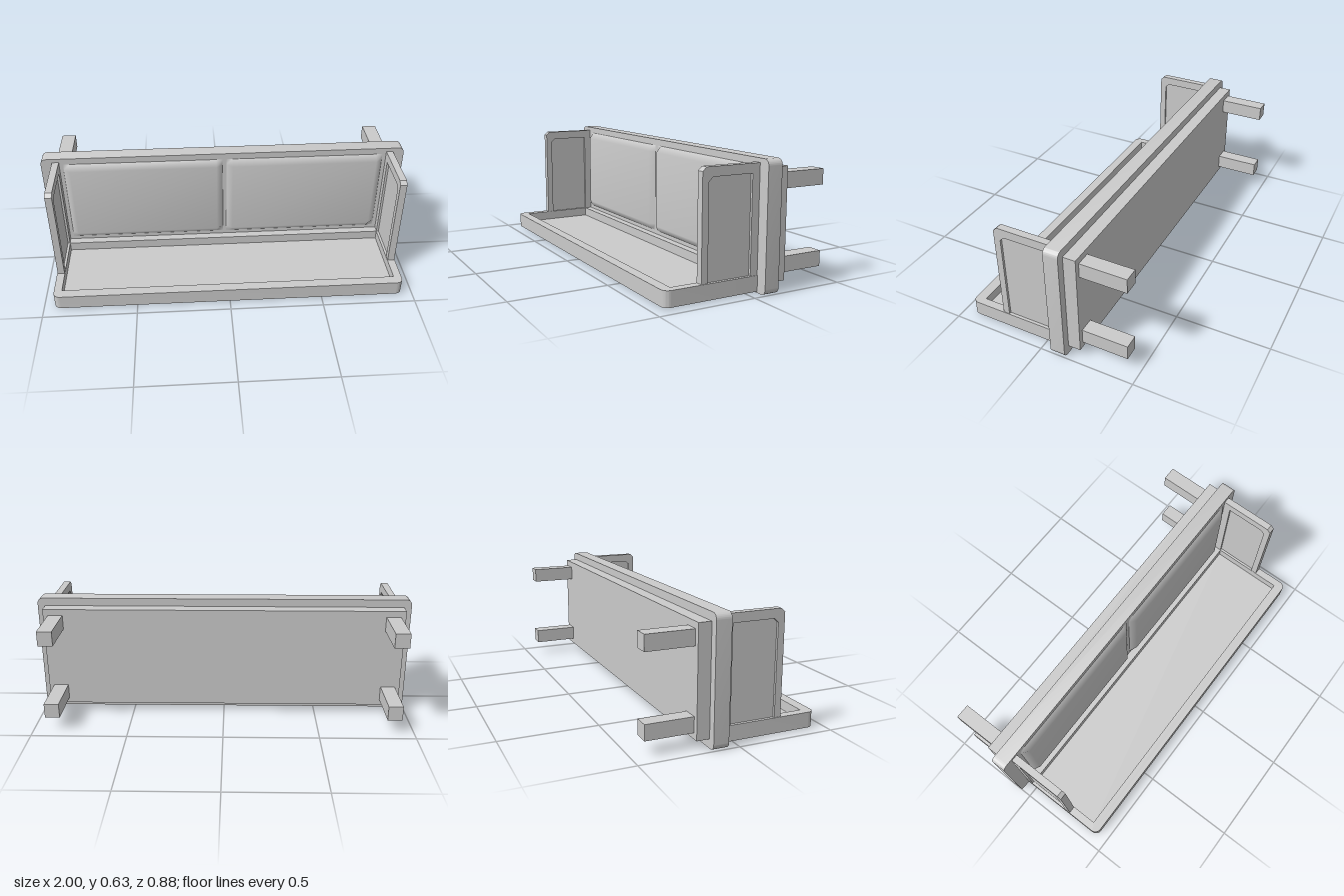
import * as THREE from 'three';
import { toCreasedNormals } from 'three/addons/utils/BufferGeometryUtils.js';

const material = new THREE.MeshStandardMaterial({ color: 0xcccccc });

export function createModel() {
  const group = new THREE.Group();

  const add = (name, geometry, x = 0, y = 0, z = 0) => {
    const mesh = new THREE.Mesh(geometry, material);
    mesh.name = name;
    mesh.position.set(x, y, z);
    group.add(mesh);
    return mesh;
  };

  // Box given by its minimum and maximum corners
  const box = (name, x0, x1, y0, y1, z0, z1) =>
    add(name, new THREE.BoxGeometry(x1 - x0, y1 - y0, z1 - z0),
      (x0 + x1) / 2, (y0 + y1) / 2, (z0 + z1) / 2);

  const polygon = (points) => new THREE.Shape(points.map(([a, b]) => new THREE.Vector2(a, b)));

  const extrude = (shape, depth) => toCreasedNormals(
    new THREE.ExtrudeGeometry(shape, { depth, bevelEnabled: false, curveSegments: 6 }), 0.6);

  // Rectangle with separate radii for its lower and upper corners
  const roundedRect = (x0, x1, y0, y1, rLow, rHigh) => {
    const s = new THREE.Shape();
    s.moveTo(x0 + rLow, y0);
    s.lineTo(x1 - rLow, y0);
    if (rLow) s.absarc(x1 - rLow, y0 + rLow, rLow, -Math.PI / 2, 0);
    s.lineTo(x1, y1 - rHigh);
    s.absarc(x1 - rHigh, y1 - rHigh, rHigh, 0, Math.PI / 2);
    s.lineTo(x0 + rHigh, y1);
    s.absarc(x0 + rHigh, y1 - rHigh, rHigh, Math.PI / 2, Math.PI);
    s.lineTo(x0, y0 + rLow);
    if (rLow) s.absarc(x0 + rLow, y0 + rLow, rLow, Math.PI, Math.PI * 1.5);
    return s;
  };

  // Seat slab with rounded corners, and the base behind it
  add('seatFrame', extrude(roundedRect(-1, 1, 0, 0.632, 0.03, 0.03), 0.078), 0, 0, -0.135);
  box('seatBase', -0.96, 0.96, 0.045, 0.59, -0.2, -0.135);

  // Four square legs
  for (const side of [-1, 1]) {
    for (const y of [0.114, 0.518]) {
      add('leg', new THREE.BoxGeometry(0.077, 0.078, 0.241), side * 0.895, y, -0.3205);
    }
  }

  // Backrest: a rounded frame around a recessed panel
  const backShape = roundedRect(-0.942, 0.942, -0.057, 0.443, 0, 0.035);
  backShape.holes.push(new THREE.Path(
    polygon([[-0.9, -0.015], [-0.9, 0.39], [0.9, 0.39], [0.9, -0.015]]).getPoints()));
  add('backrestFrame', extrude(backShape, 0.078).rotateX(Math.PI / 2), 0, 0.085, 0);
  box('backrestPanel', -0.9, 0.9, 0.018, 0.035, -0.015, 0.39);

  // Arms: a chamfered frame, open at its foot, filled with a thin panel
  const armFrame = polygon([
    [-0.057, 0.085], [-0.017, 0.085], [-0.017, 0.565], [0.197, 0.565], [0.218, 0.545],
    [0.218, 0.085], [0.252, 0.085], [0.252, 0.592], [0.232, 0.611], [-0.057, 0.611]]);
  const armPanel = polygon([
    [-0.017, 0.085], [0.218, 0.085], [0.218, 0.545], [0.197, 0.565], [-0.017, 0.565]]);
  for (const side of [-1, 1]) {
    const slab = (name, shape, depth) =>
      add(name, extrude(shape, depth).rotateY(-Math.PI / 2), side * 0.92 + depth / 2, 0, 0);
    slab('armFrame', armFrame, 0.037);
    slab('armPanel', armPanel, 0.013);
  }

  // Two softly shaded cushions: a grid whose inner points are raised
  const width = 0.87, height = 0.49, inset = 0.035;
  for (const side of [-1, 1]) {
    const cushion = new THREE.PlaneGeometry(width, height, 3, 3);
    const p = cushion.attributes.position;
    for (let i = 0; i < p.count; i++) {
      const x = p.getX(i), y = p.getY(i);
      const inner = Math.abs(x) < width * 0.4 && Math.abs(y) < height * 0.4;
      if (Math.abs(x) < width * 0.4) p.setX(i, Math.sign(x) * (width / 2 - inset));
      if (Math.abs(y) < height * 0.4) p.setY(i, Math.sign(y) * (height / 2 - inset));
      if (inner) p.setZ(i, 0.027);
    }
    cushion.computeVertexNormals();
    add('cushion', cushion, side * 0.445, 0.352, -0.0565);
  }

  return group;
}
